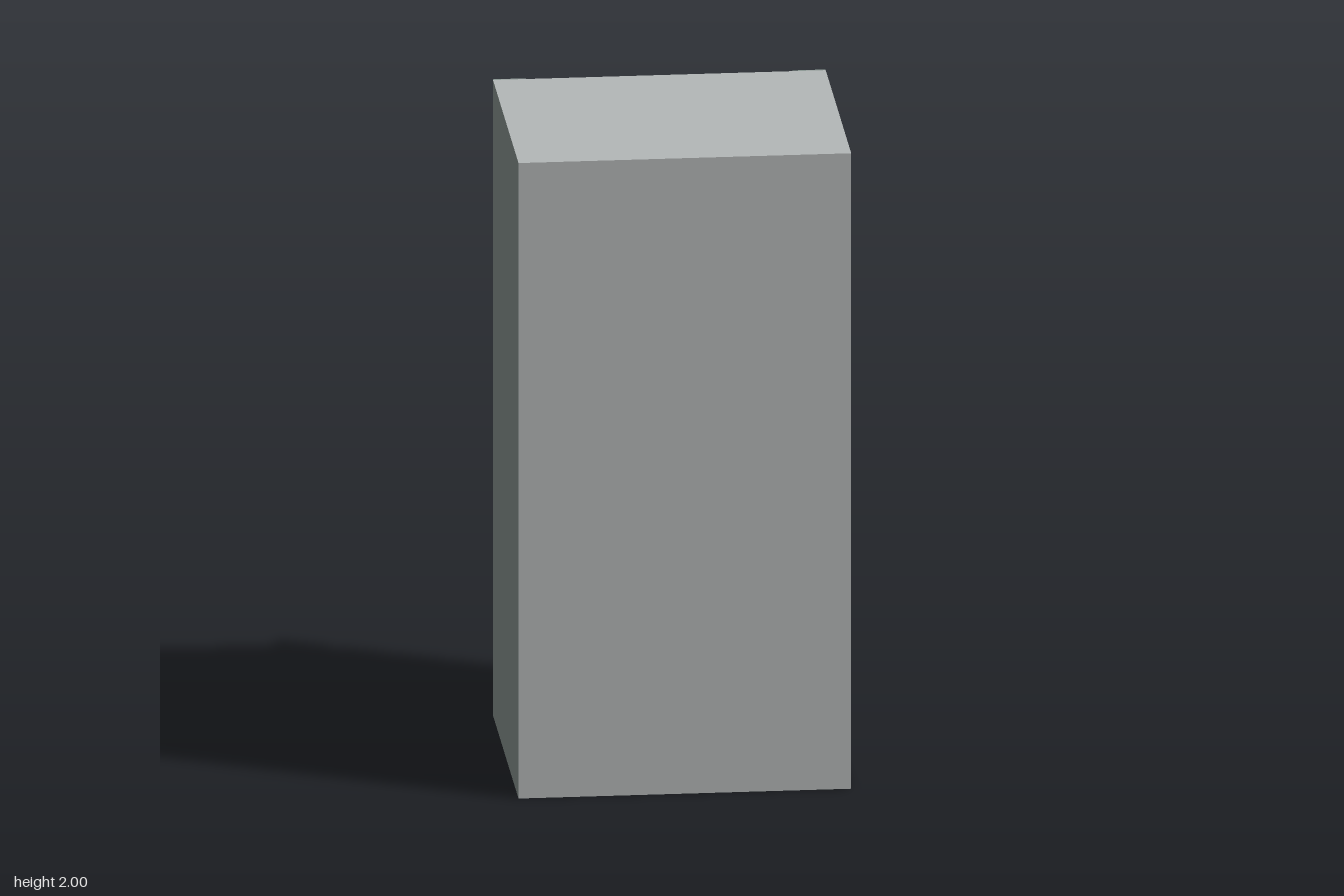
import * as THREE from 'three';

export function createModel() {
  const root = new THREE.Group();
  const light = new THREE.MeshStandardMaterial({ color: 0xb4b8b8 });
  light.name = 'light grey';
  const dark = new THREE.MeshStandardMaterial({ color: 0x8c9894 });
  dark.name = 'green grey';

  // Depths, from the recess floor outwards (the equipment faces -z)
  const FLOOR = -0.335, PANEL = -0.35, RIM = -0.357, STRIP = -0.364, PLATE = -0.358;

  const add = (name, geo, mat, x, y, z, parent = root) => {
    const m = new THREE.Mesh(geo, mat);
    m.name = name;
    m.position.set(x, y, z);
    parent.add(m);
    return m;
  };
  // Box given by its limits in x, y and z
  const box = (name, mat, x0, x1, y0, y1, z0, z1, parent) =>
    add(name, new THREE.BoxGeometry(x1 - x0, y1 - y0, z1 - z0), mat,
      (x0 + x1) / 2, (y0 + y1) / 2, (z0 + z1) / 2, parent);

  // Cabinet body and the rim around the recess
  box('cabinetBody', [dark, dark, light, light, light, light], -0.5, 0.5, 0, 2, FLOOR, 0.448);
  const rimMats = [dark, dark, light, light, light, dark];
  for (const s of [-1, 1]) {
    const side = s > 0 ? [0.4, 0.5] : [-0.5, -0.4];
    box('sideRim', rimMats, ...side, 0, 2, RIM, FLOOR);
    box('sideStrip', dark, ...side, 0, 2, STRIP, RIM);
  }
  box('topRail', rimMats, -0.4, 0.4, 1.9, 2, RIM, FLOOR);
  box('bottomRail', rimMats, -0.4, 0.4, 0, 0.1, RIM, FLOOR);

  // Shared detail shapes
  const knobGeo = new THREE.CapsuleGeometry(0.009, 0.012, 4, 12).rotateX(Math.PI / 2);
  const screwGeo = new THREE.CylinderGeometry(0.009, 0.009, 0.012, 12).rotateX(Math.PI / 2);
  const keyGeo = new THREE.BoxGeometry(0.04, 0.04, 0.012);

  // C-shaped handle: profile in (outward, up), chamfered at the grip corners
  const c = new THREE.Shape([
    [0, 0.095], [0.09, 0.095], [0.098, 0.087], [0.098, -0.087], [0.09, -0.095], [0, -0.095],
    [0, -0.065], [0.07, -0.065], [0.07, 0.065], [0, 0.065],
  ].map(p => new THREE.Vector2(...p)));
  const handleGeo = new THREE.ExtrudeGeometry(c, { depth: 0.02, bevelEnabled: false })
    .translate(0, 0, -0.01).rotateY(Math.PI / 2);

  // Rounded backing plate
  const plate = (x, y, w, h, r, parent) => {
    const s = new THREE.Shape(), a = w / 2, b = h / 2;
    s.absarc(a - r, b - r, r, 0, Math.PI / 2);
    s.absarc(-a + r, b - r, r, Math.PI / 2, Math.PI);
    s.absarc(-a + r, -b + r, r, Math.PI, Math.PI * 1.5);
    s.absarc(a - r, -b + r, r, Math.PI * 1.5, Math.PI * 2);
    const geo = new THREE.ExtrudeGeometry(s, { depth: PANEL - PLATE, bevelEnabled: false, curveSegments: 5 });
    add('backingPlate', geo, dark, x, y, PLATE, parent);
  };
  const knobs = (xs, ys, parent) => {
    for (const x of xs) for (const y of ys) add('knob', knobGeo, light, x, y, PLATE - 0.008, parent);
  };
  const key = (x, y, parent) => add('key', keyGeo, light, x, y, PLATE - 0.005, parent);
  const row = (start, n) => Array.from({ length: n }, (_, i) => start - i * 0.05);

  // Eight rack units, each with a panel, two handles and four screws
  const units = [];
  for (let i = 0; i < 8; i++) {
    const unit = new THREE.Group();
    unit.name = 'rackUnit' + (i + 1);
    unit.position.y = 1.787 - i * 0.2203;
    root.add(unit);
    units.push(unit);
    box('panel', light, -0.4, 0.4, -0.105, 0.105, PANEL, FLOOR, unit);
    for (const s of [-1, 1]) {
      add('handle', handleGeo, dark, s * 0.35, 0, PANEL, unit);
      for (const t of [-1, 1]) add('screw', screwGeo, light, s * 0.31, t * 0.09, PANEL - 0.006, unit);
    }
  }

  // Units 1 and 3: a large plate and a narrow plate with knobs
  for (const u of [units[0], units[2]]) {
    plate(0.19, 0, 0.2, 0.18, 0.03, u);
    plate(-0.12, 0, 0.12, 0.18, 0.03, u);
    knobs([-0.083, -0.155], [-0.055, 0, 0.055], u);
  }
  knobs([0.26, 0.187, 0.113], [-0.055, 0, 0.055], units[0]);
  // Unit 3: keypad with one key above two rows of three
  key(0.187, 0.055, units[2]);
  for (const x of [0.25, 0.187, 0.124]) for (const y of [0, -0.055]) key(x, y, units[2]);

  // Unit 2: two rows of knobs on strips
  plate(0.01, 0.038, 0.55, 0.034, 0.012, units[1]);
  knobs(row(0.26, 11), [0.038], units[1]);
  plate(-0.015, -0.022, 0.3, 0.034, 0.012, units[1]);
  knobs(row(0.11, 6), [-0.022], units[1]);

  // Unit 4: three keys on a strip
  plate(0.005, 0, 0.28, 0.06, 0.012, units[3]);
  for (const x of [0.11, 0.005, -0.1]) key(x, 0, units[3]);

  return root;
}
